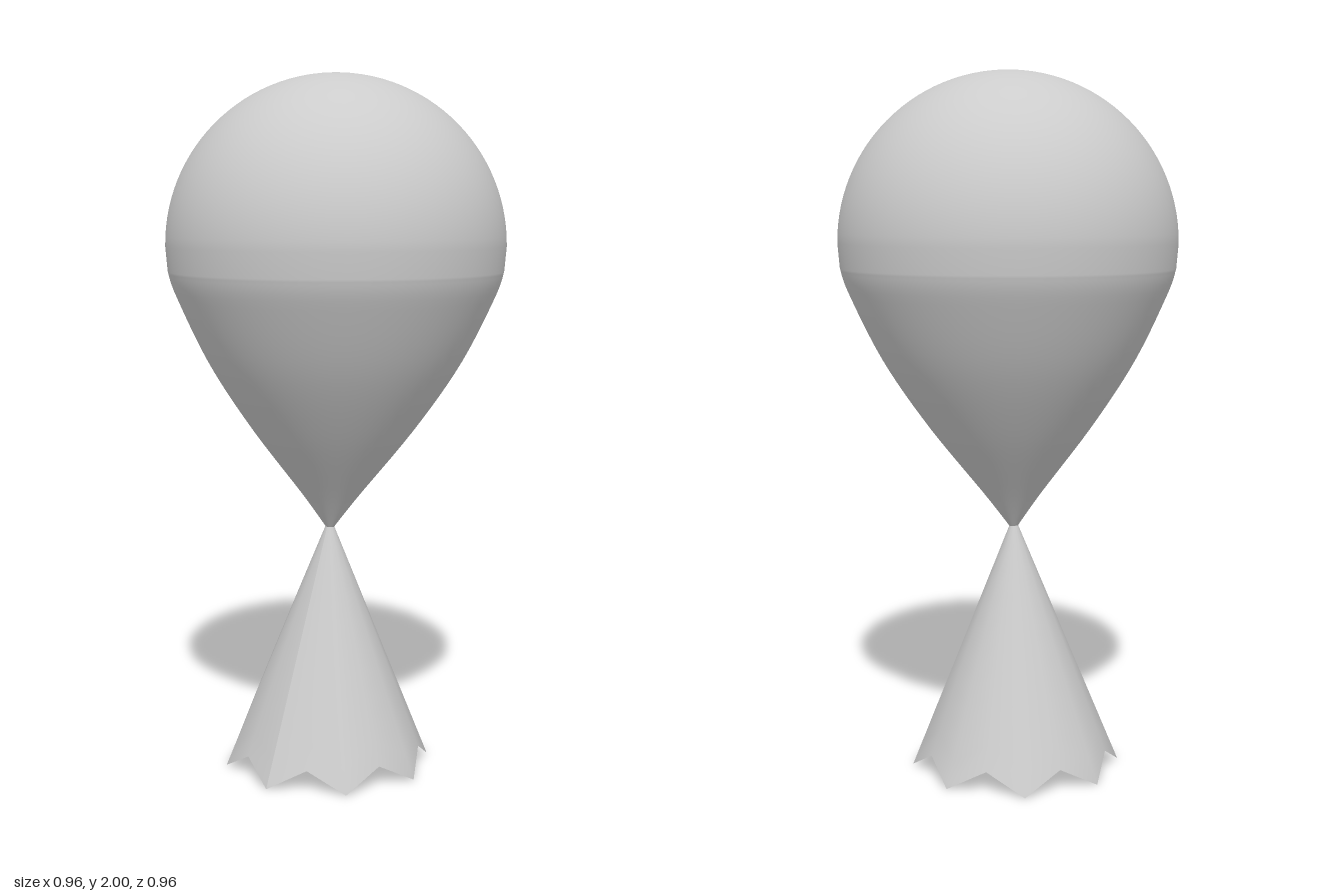
import * as THREE from 'three';

const NECK_Y = 0.69;

// Smooth teardrop envelope, leaning slightly so its tip meets the skirt
function createBalloon(material) {
  const lower = [[0, NECK_Y], [0.08, 0.8], [0.235, 1.0], [0.36, 1.19], [0.452, 1.38], [0.475, 1.45]]
    .map(([r, y]) => new THREE.Vector2(r, y));
  const profile = new THREE.SplineCurve(lower).getPoints(28);
  for (let i = 0; i <= 28; i++) {
    const a = (i / 28) * Math.PI / 2;
    profile.push(new THREE.Vector2(i === 28 ? 0 : 0.481 * Math.cos(a), 1.52 + 0.48 * Math.sin(a)));
  }
  const geometry = new THREE.LatheGeometry(profile, 64);
  const p = geometry.attributes.position;
  for (let i = 0; i < p.count; i++) {
    const t = Math.max(0, (1.52 - p.getY(i)) / (1.52 - NECK_Y));
    p.setX(i, p.getX(i) - 0.022 * t * t);
  }
  const mesh = new THREE.Mesh(geometry, material);
  mesh.name = 'balloon';
  return mesh;
}

// Open flared skirt: eight pointed tips with raised, slightly pinched valleys between
function createSkirt(material) {
  const topY = 0.72, topR = 0.008, rimR = 0.302, tips = 8, rows = 10;
  const geometry = new THREE.CylinderGeometry(topR, rimR, topY, tips * 2, rows, true);
  const p = geometry.attributes.position;
  for (let i = 0; i < p.count; i++) {
    const column = i % (tips * 2 + 1);
    const row = Math.floor(i / (tips * 2 + 1));
    const valley = column % 2;
    const t = (row / rows) * (valley ? 1 - 0.06 / topY : 1);
    const r = (topR + (rimR - topR) * t) * (1 - 0.025 * valley * t * t);
    const a = (column / tips) * Math.PI;
    p.setXYZ(i, r * Math.sin(a) - 0.022 - 0.008 * t, topY * (1 - t), r * Math.cos(a));
  }
  geometry.computeVertexNormals();
  const mesh = new THREE.Mesh(geometry, material);
  mesh.name = 'skirt';
  return mesh;
}

export function createModel() {
  const group = new THREE.Group();
  group.name = 'balloonWithSkirt';
  group.add(
    createBalloon(new THREE.MeshStandardMaterial({ color: 0xcccccc })),
    createSkirt(new THREE.MeshStandardMaterial({ color: 0xcccccc, side: THREE.DoubleSide }))
  );
  return group;
}
